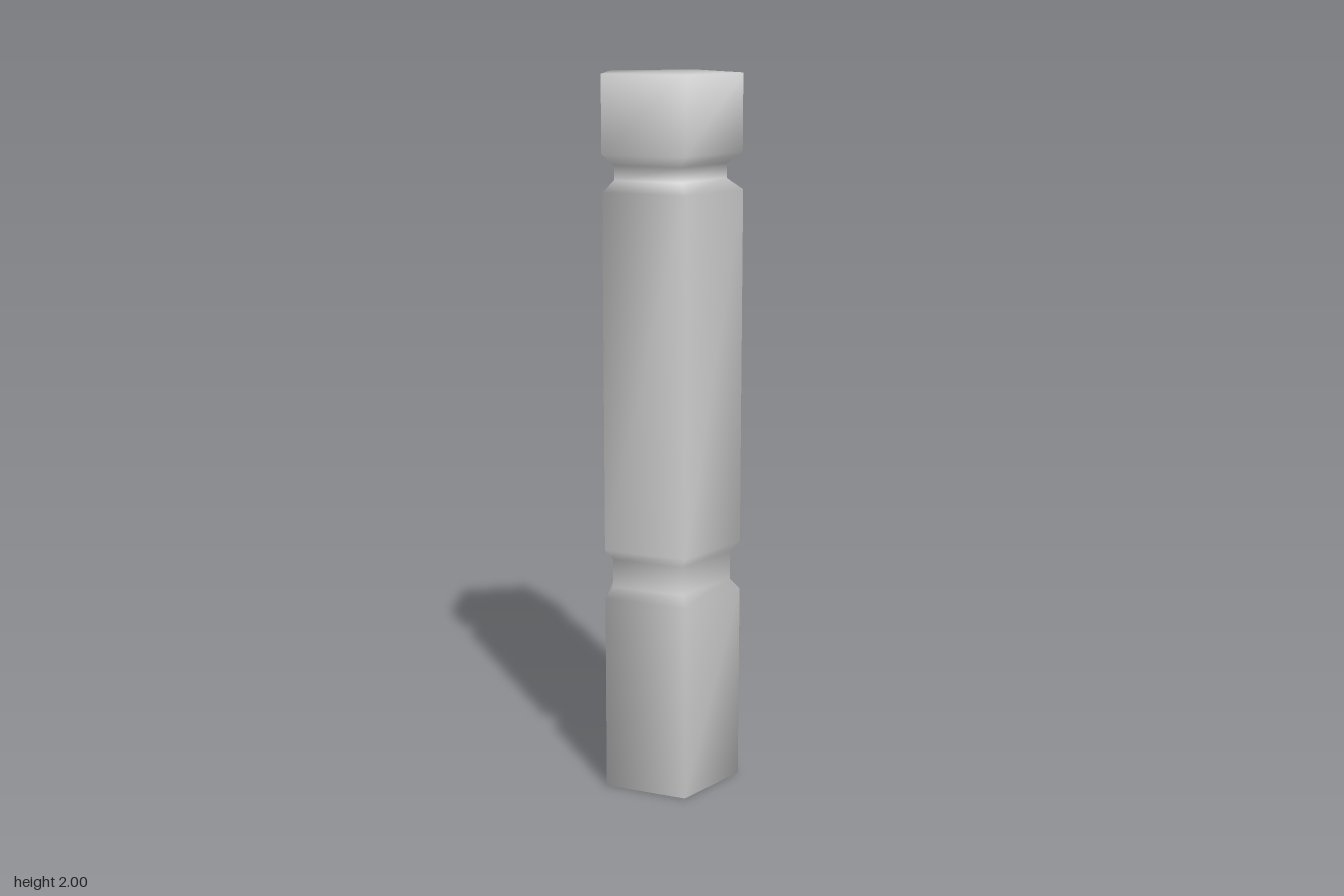
import * as THREE from 'three';

const SIDES = 5;
const RADIUS = 0.2045;
const CENTER_X = 0.0195;

// Rings from bottom to top: height, scale, z offset
const RINGS = [
  [0, 1, 0.004], [0.56, 1, 0.004],            // foot
  [0.59, 0.87, 0.004], [0.67, 0.87, 0.004],   // lower groove
  [0.70, 1, 0.003], [1.69, 1, 0.002],         // shaft
  [1.72, 0.8, 0], [1.76, 0.8, 0],             // upper groove
  [1.79, 1, -0.002], [2, 1, -0.002],          // head
];

// Lofts the pentagonal rings into one closed, smooth-shaded solid
function loftPost() {
  const positions = [];
  const index = [];
  for (const [y, scale, z] of RINGS) {
    for (let i = 0; i < SIDES; i++) {
      const a = (i / SIDES) * Math.PI * 2;
      const r = RADIUS * scale;
      positions.push(CENTER_X * scale - r * Math.cos(a) + 0.004 * (1 - scale), y, z + r * Math.sin(a));
    }
  }
  // Side walls
  for (let k = 0; k < RINGS.length - 1; k++) {
    for (let i = 0; i < SIDES; i++) {
      const a = k * SIDES + i;
      const b = k * SIDES + ((i + 1) % SIDES);
      index.push(a, b, b + SIDES, a, b + SIDES, a + SIDES);
    }
  }
  // End caps share the wall vertices, so shading runs over the rims
  const top = (RINGS.length - 1) * SIDES;
  for (let i = 1; i < SIDES - 1; i++) {
    index.push(0, i + 1, i);
    index.push(top, top + i, top + i + 1);
  }
  const geometry = new THREE.BufferGeometry();
  geometry.setAttribute('position', new THREE.Float32BufferAttribute(positions, 3));
  geometry.setIndex(index);
  geometry.computeVertexNormals();
  return geometry;
}

export function createModel() {
  const group = new THREE.Group();
  group.name = 'groovedPost';
  const post = new THREE.Mesh(loftPost(), new THREE.MeshStandardMaterial({ color: 0xcccccc }));
  post.name = 'post';
  group.add(post);
  return group;
}
